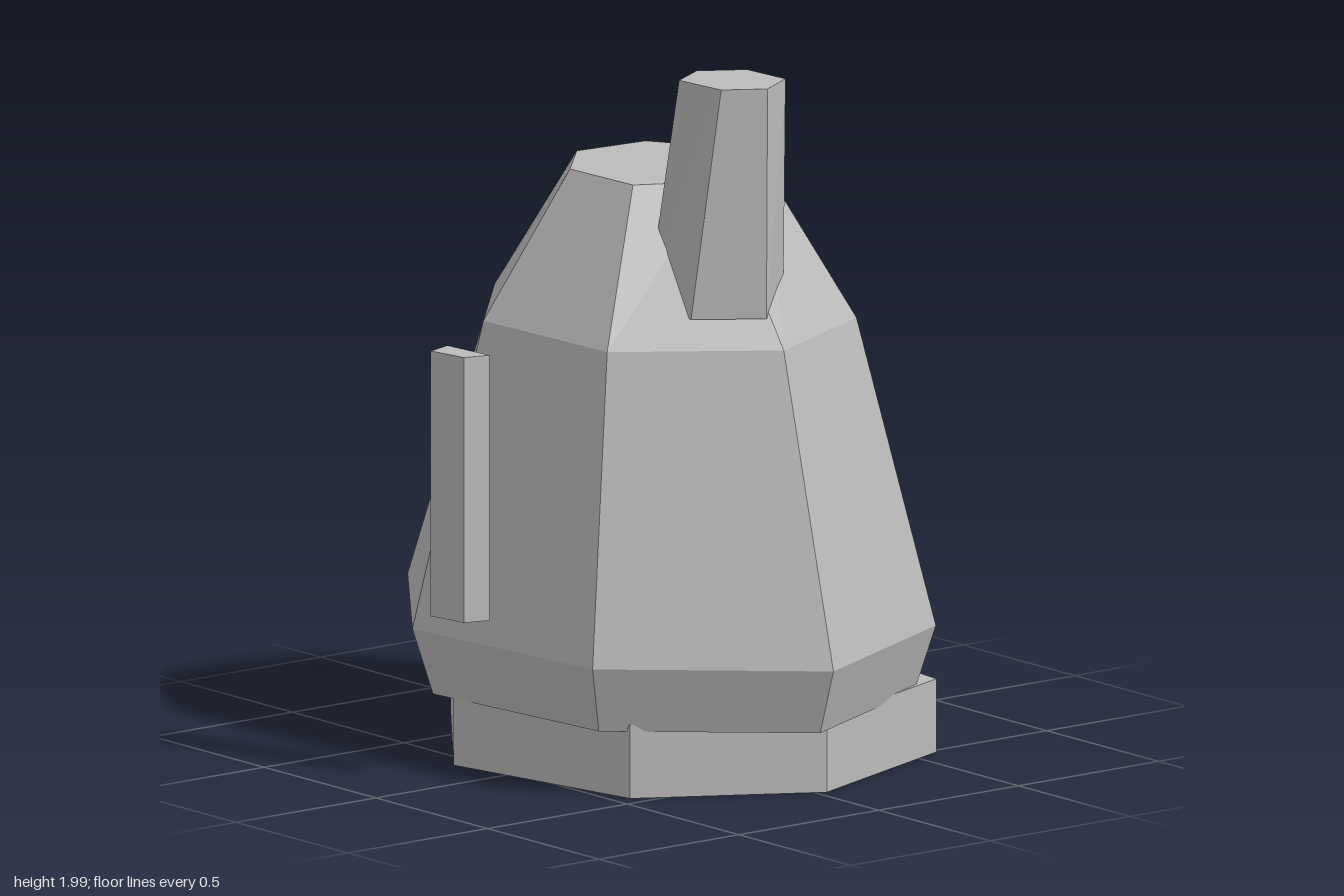
import * as THREE from 'three';

const grey = new THREE.MeshStandardMaterial({ name: 'stoneGrey', color: 0xbbbbbb, flatShading: true });

// Skins a stack of rings, lowest first, and caps both ends.
// Each ring is [y, [[x, z], ...]], clockwise when seen from above.
function loft(name, rings) {
  const n = rings[0][1].length;
  const pos = [];
  const index = [];
  for (const [y, pts] of rings) for (const [x, z] of pts) pos.push(x, y, z);
  for (let r = 0; r < rings.length - 1; r++) {
    for (let i = 0; i < n; i++) {
      const a = r * n + i;
      const b = r * n + (i + 1) % n;
      index.push(b, a, a + n, b, a + n, b + n);
    }
  }
  const top = (rings.length - 1) * n;
  for (let i = 1; i < n - 1; i++) {
    index.push(0, i, i + 1);
    index.push(top, top + i + 1, top + i);
  }
  const indexed = new THREE.BufferGeometry();
  indexed.setAttribute('position', new THREE.Float32BufferAttribute(pos, 3));
  indexed.setIndex(index);
  const geometry = indexed.toNonIndexed();
  geometry.computeVertexNormals();
  const mesh = new THREE.Mesh(geometry, grey);
  mesh.name = name;
  return mesh;
}

export function createModel() {
  const group = new THREE.Group();
  group.name = 'hut';

  // Seven-sided footing
  const footing = [[-0.1, -0.64], [0.52, -0.59], [0.73, -0.03], [0.45, 0.45],
    [-0.19, 0.57], [-0.73, 0.15], [-0.63, -0.43]];
  group.add(loft('footing', [[0.01, footing], [0.22, footing]]));

  // Irregular seven-sided body: flared rim, tapering walls, domed roof
  const rim = [[-0.1, -0.74], [0.58, -0.54], [0.86, 0.05], [0.42, 0.56],
    [-0.3, 0.63], [-0.86, 0.2], [-0.77, -0.44]];
  const eaves = [[-0.08, -0.58], [0.4, -0.4], [0.6, 0.02], [0.31, 0.42],
    [-0.22, 0.44], [-0.57, 0.12], [-0.54, -0.33]];
  const crown = [[-0.06, -0.31], [0.2, -0.23], [0.26, -0.01], [0.15, 0.2],
    [-0.12, 0.21], [-0.29, 0.05], [-0.27, -0.18]];
  const underside = rim.map(([x, z]) => [x * 0.92, z * 0.92 - 0.004]);
  group.add(loft('body', [[0.2, underside], [0.39, rim], [1.26, eaves], [1.68, crown]]));

  // Six-sided leaning chimney
  group.add(loft('chimney', [
    [1.34, [[0.2, -0.13], [0.41, -0.13], [0.535, 0.03], [0.41, 0.2], [0.2, 0.19], [0.1, 0.04]]],
    [2, [[0.31, -0.08], [0.47, -0.09], [0.54, 0.03], [0.47, 0.14], [0.3, 0.155], [0.235, 0.04]]],
  ]));

  // Upright bevelled bar in front of the wall
  const bar = [[-0.105, 0.66], [0.065, 0.645], [0.045, 0.72], [-0.08, 0.74]];
  group.add(loft('frontBar', [[0.48, bar], [1.24, bar]]));

  // Rest on the ground
  const box = new THREE.Box3().setFromObject(group);
  for (const part of group.children) part.position.y -= box.min.y;
  return group;
}
